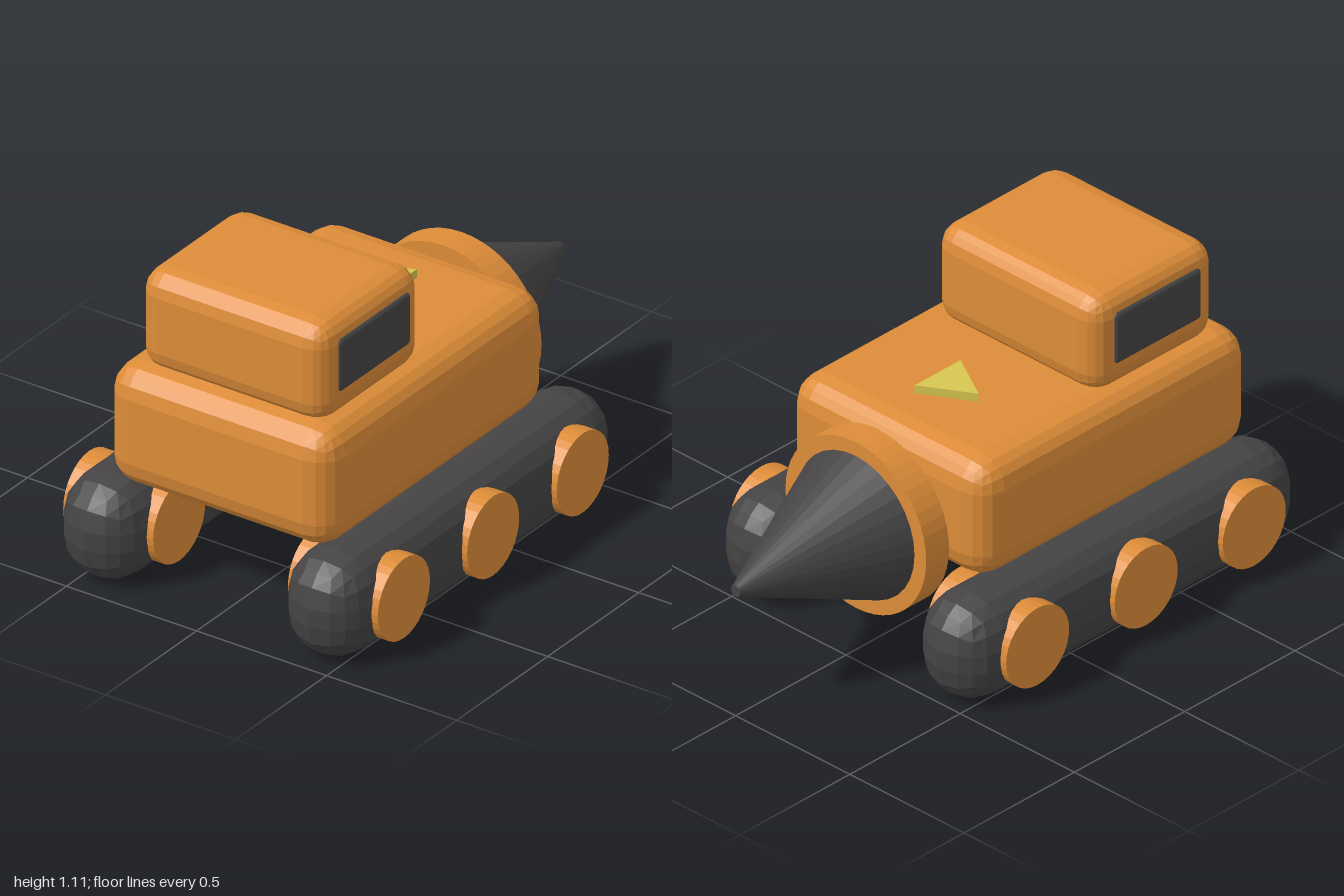
import * as THREE from 'three';
import { RoundedBoxGeometry } from 'three/addons/geometries/RoundedBoxGeometry.js';

export function createModel() {
  const model = new THREE.Group();
  model.name = 'drillVehicle';

  const paint = (name, color) => {
    const m = new THREE.MeshStandardMaterial({ color, flatShading: true });
    m.name = name;
    return m;
  };
  const orange = paint('orange', 0xdd8c38);
  const dark = paint('charcoal', 0x454343);
  const yellow = paint('yellow', 0xd6c650);

  const add = (name, geometry, material, x, y, z) => {
    const mesh = new THREE.Mesh(geometry, material);
    mesh.name = name;
    mesh.position.set(x, y, z);
    model.add(mesh);
    return mesh;
  };
  const roundBox = (w, h, d, r) => new RoundedBoxGeometry(w, h, d, 2, r);

  // Hull and cab
  add('hull', roundBox(1.23, 0.43, 0.87, 0.1), orange, -0.285, 0.565, 0);
  add('cab', roundBox(0.56, 0.36, 0.72, 0.08), orange, -0.54, 0.93, 0);

  // Running gear and cab windows, mirrored left to right across z
  for (const [side, s] of [['front', 1], ['back', -1]]) {
    add(side + 'Window', roundBox(0.395, 0.19, 0.04, 0.018), dark, -0.54, 0.95, s * 0.349);
    add(side + 'Track', roundBox(1.53, 0.37, 0.305, 0.152), dark, -0.235, 0.187, s * 0.432);
    [-0.725, -0.235, 0.257].forEach((x, i) => {
      const wheel = new THREE.CylinderGeometry(0.143, 0.143, 0.346, 32).rotateX(Math.PI / 2);
      add(side + 'Wheel' + (i + 1), wheel, orange, x, 0.188, s * 0.432);
    });
  }

  // Drill: collar and blunt-tipped cone along +x
  const collar = new THREE.CylinderGeometry(0.308, 0.308, 0.104, 48).rotateZ(-Math.PI / 2);
  add('drillCollar', collar, orange, 0.403, 0.465, 0);
  const cone = new THREE.CylinderGeometry(0.02, 0.257, 0.545, 32).rotateZ(-Math.PI / 2);
  add('drillCone', cone, dark, 0.7275, 0.465, 0);

  // Triangular marker on the hull, pointing to -z
  const marker = new THREE.CylinderGeometry(0.12, 0.12, 0.04, 3).rotateY(Math.PI);
  add('deckMarker', marker, yellow, 0.022, 0.79, 0);

  return model;
}
